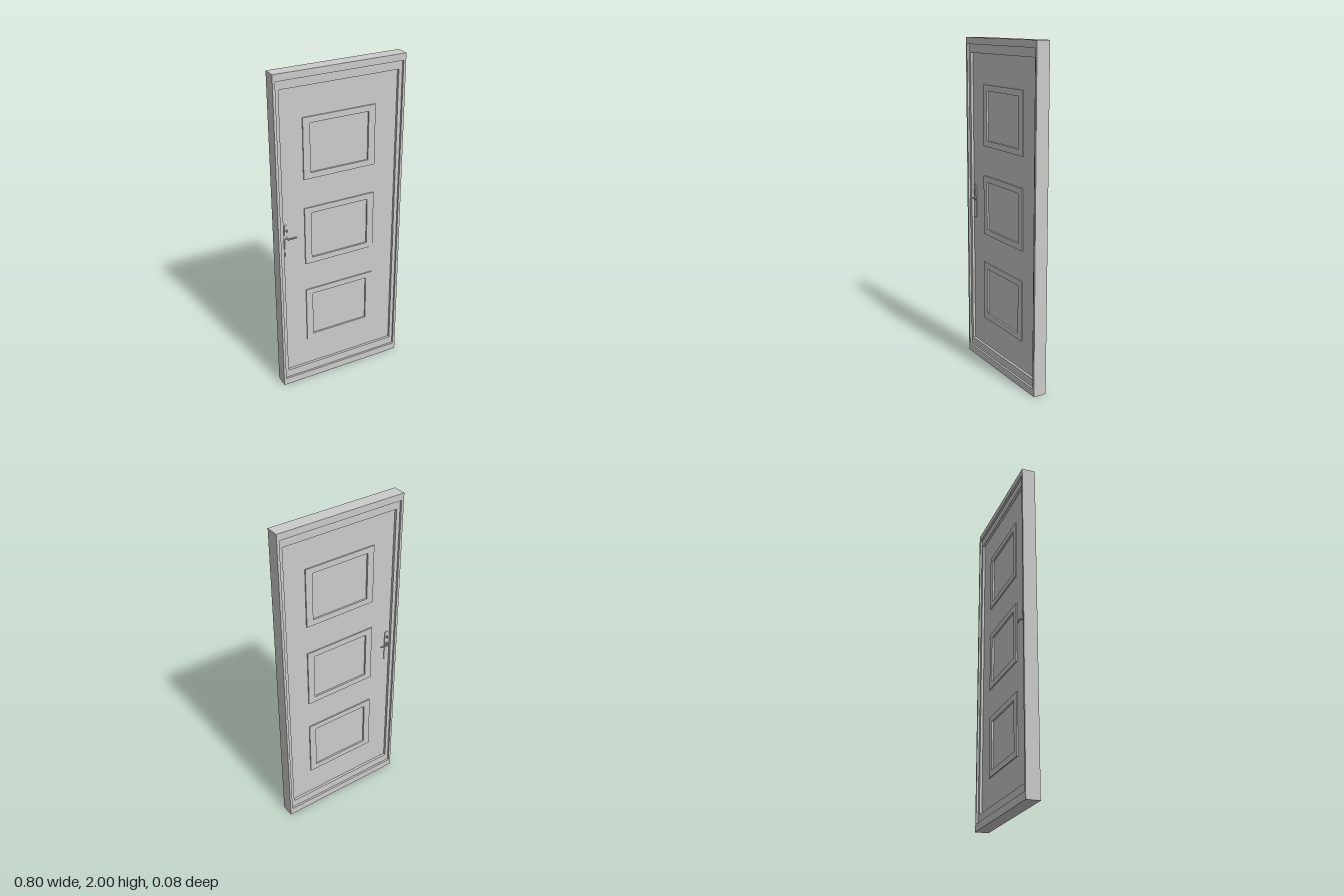
import * as THREE from 'three';

const material = new THREE.MeshStandardMaterial({ color: 0xcccccc });

function add(parent, geometry, name, x = 0, y = 0, z = 0) {
  const mesh = new THREE.Mesh(geometry, material);
  mesh.name = name;
  mesh.position.set(x, y, z);
  parent.add(mesh);
  return mesh;
}

// Rectangle path from its centre and size
function rect(Type, cy, w, h) {
  const p = new Type();
  p.moveTo(-w / 2, cy - h / 2);
  p.lineTo(w / 2, cy - h / 2);
  p.lineTo(w / 2, cy + h / 2);
  p.lineTo(-w / 2, cy + h / 2);
  p.closePath();
  return p;
}

// Slab centred on z = 0, with rectangular openings [cy, w, h]
function slab(outer, holes, depth) {
  const shape = rect(THREE.Shape, ...outer);
  holes.forEach((h) => shape.holes.push(rect(THREE.Path, ...h)));
  return new THREE.ExtrudeGeometry(shape, { depth, bevelEnabled: false }).translate(0, 0, -depth / 2);
}

// Lock plate with rounded ends, lever and thumb turn; its base lies on z = 0
function createHandle() {
  const handle = new THREE.Group();
  const r = 0.013, half = 0.105 - r;
  const shape = new THREE.Shape();
  shape.absarc(0, half, r, 0, Math.PI, false);
  shape.absarc(0, -half, r, Math.PI, Math.PI * 2, false);
  shape.closePath();
  add(handle, new THREE.ExtrudeGeometry(shape, { depth: 0.005, bevelEnabled: false, curveSegments: 10 }), 'lockPlate');

  const boss = new THREE.CylinderGeometry(0.008, 0.008, 0.006, 20).rotateX(Math.PI / 2);
  add(handle, boss, 'leverBoss', 0, 0.02, 0.008);
  const path = new THREE.CatmullRomCurve3([
    new THREE.Vector3(0, 0, 0.005),
    new THREE.Vector3(0, 0, 0.018),
    new THREE.Vector3(0.006, 0, 0.0225),
    new THREE.Vector3(0.05, 0, 0.0225),
  ]);
  add(handle, new THREE.TubeGeometry(path, 24, 0.0045, 10), 'lever', 0, 0.02, 0);
  add(handle, new THREE.SphereGeometry(0.0045, 10, 8), 'leverTip', 0.05, 0.02, 0.0225);

  add(handle, new THREE.CylinderGeometry(0.006, 0.006, 0.006, 16).rotateX(Math.PI / 2), 'thumbTurnBase', 0, 0.07, 0.007);
  add(handle, new THREE.BoxGeometry(0.004, 0.014, 0.008), 'thumbTurn', 0, 0.07, 0.013);
  return handle;
}

export function createModel() {
  const door = new THREE.Group();
  door.name = 'door';

  // Stepped surround
  const outside = [1, 0.8, 2];
  const step = [1.0025, 0.77, 1.915];
  const opening = [1.0025, 0.726, 1.815];
  add(door, slab(outside, [step], 0.08), 'outerFrame');
  add(door, slab(step, [opening], 0.056), 'innerFrame');

  // Leaf with three sunken panels, each in a raised moulding
  const centres = [0.457, 1.003, 1.548];
  const recesses = centres.map((y) => [y, 0.365, 0.293]);
  add(door, slab(opening, recesses, 0.025), 'leaf');
  centres.forEach((y, i) => {
    add(door, slab([y, 0.45, 0.365], [recesses[i]], 0.039), 'panelMoulding');
    add(door, slab(recesses[i], [], 0.018), 'sunkenPanel');
  });

  // Handles on both faces
  for (const side of [1, -1]) {
    const handle = createHandle();
    handle.name = side > 0 ? 'frontHandle' : 'backHandle';
    if (side < 0) {
      // Turned about the vertical, with the lever mirrored toward the leaf
      handle.rotation.y = Math.PI;
      handle.scale.x = -1;
    }
    handle.position.set(-0.34, 1.005, 0.0125 * side);
    door.add(handle);
  }
  return door;
}
